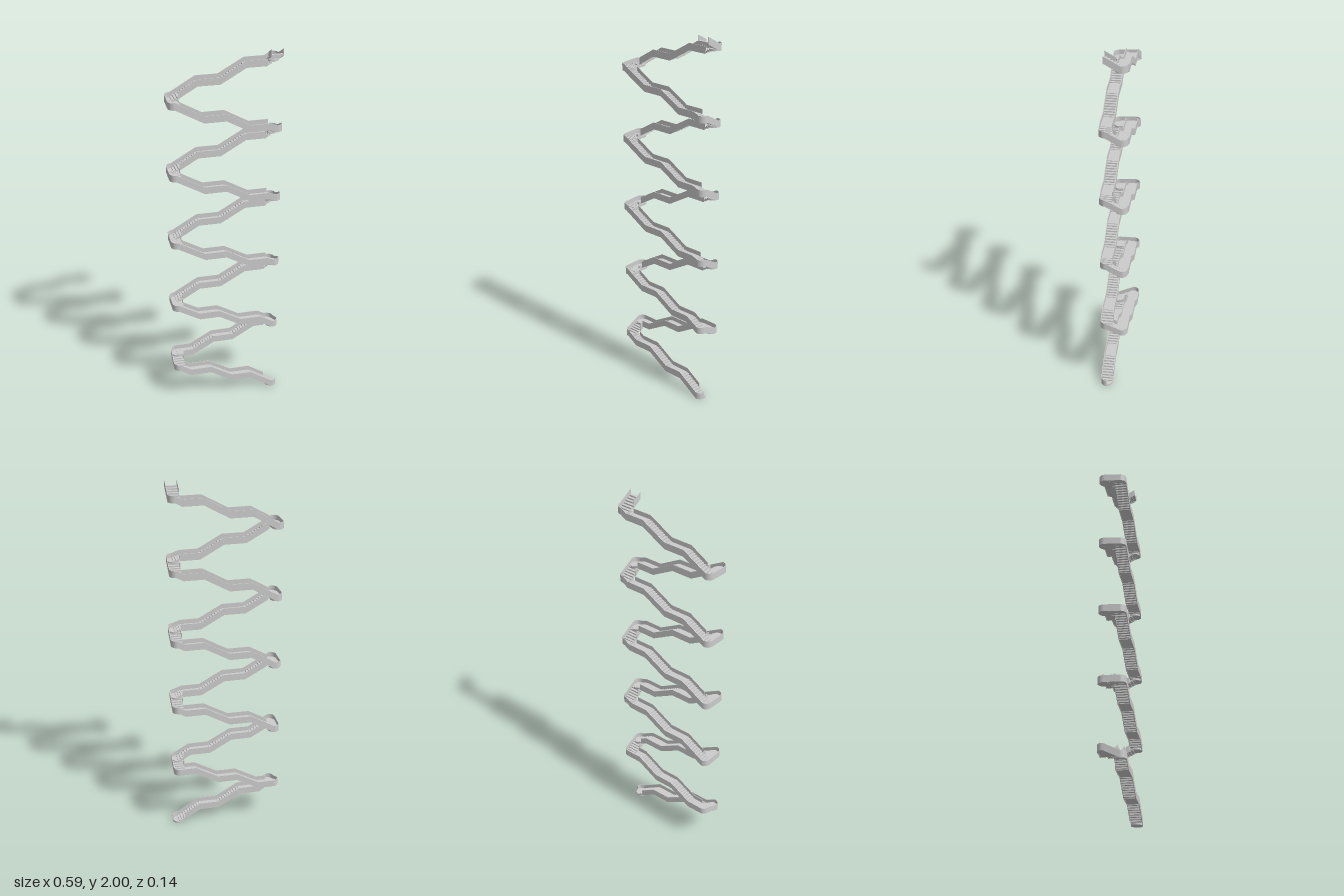
import * as THREE from 'three';

const H = 0.037;    // parapet height
const T = 0.003;    // parapet thickness
const R = 0.032;    // half width of a flight
const CX = 0.261, CZ = 0.0405; // corner centres
const SLAB = 0.01;  // tread thickness
const TREAD = 0.0135;

const material = new THREE.MeshStandardMaterial({ color: 0xcccccc, flatShading: true, side: THREE.DoubleSide });

// height of a path of [u, y] points (u ascending) at u
function heightAt(path, u) {
  for (let i = 1; i < path.length; i++) {
    const [u0, y0] = path[i - 1], [u1, y1] = path[i];
    if (u <= u1) return y0 + (y1 - y0) * (u - u0) / (u1 - u0);
  }
  return path[path.length - 1][1];
}

// closed band hanging below a line of points, extruded to a depth centred on 0
function band(top, drop, depth) {
  const bottom = top.map(([u, y]) => [u, y - drop]).reverse();
  const shape = new THREE.Shape([...top, ...bottom].map(([u, y]) => new THREE.Vector2(u, y)));
  return new THREE.ExtrudeGeometry(shape, { depth, bevelEnabled: false }).translate(0, 0, -depth / 2);
}

// parapet following the path between a and b
function parapet(path, a, b) {
  const inner = path.filter(([u]) => u > a + 1e-4 && u < b - 1e-4);
  return band([[a, heightAt(path, a)], ...inner, [b, heightAt(path, b)]], H, T);
}

// treads on the slopes, flat slabs on the landings
function treads(path) {
  const pts = [];
  for (let i = 1; i < path.length; i++) {
    const [u0, y0] = path[i - 1], [u1, y1] = path[i];
    const n = Math.abs(y1 - y0) < 1e-4 ? 1 : Math.max(1, Math.round((u1 - u0) / TREAD));
    for (let k = 0; k < n; k++) {
      const y = y0 + (y1 - y0) * (k + 0.5) / n - H + SLAB + 0.003;
      pts.push([u0 + (u1 - u0) * k / n, y], [u0 + (u1 - u0) * (k + 1) / n, y]);
    }
  }
  return band(pts, SLAB, 2 * R - T);
}

function add(parent, name, geometry, x = 0, y = 0, z = 0) {
  const mesh = new THREE.Mesh(geometry, material);
  mesh.name = name;
  mesh.position.set(x, y, z);
  parent.add(mesh);
}

// one straight run: side is the sign of the outer parapet on the local z axis
function run(name, points, side, innerFrom, innerTo) {
  const path = [...points].sort((a, b) => a[0] - b[0]);
  const group = new THREE.Group();
  group.name = name;
  const off = side * (R - T / 2);
  add(group, 'treads', treads(path));
  add(group, 'outerParapet', parapet(path, path[0][0], path[path.length - 1][0]), 0, 0, off);
  add(group, 'innerParapet', parapet(path, innerFrom, innerTo), 0, 0, -off);
  return group;
}

// round landing with a quarter-round outer parapet
function corner(sx, sz, top) {
  const group = new THREE.Group();
  group.name = 'cornerLanding';
  add(group, 'landing', new THREE.CylinderGeometry(R - T / 2, R - T / 2, SLAB, 24), 0, -H + SLAB / 2 + 0.001, 0);
  const start = Math.atan2(-sz, sx) - Math.PI / 4;
  const ring = new THREE.Shape();
  ring.absarc(0, 0, R, start, start + Math.PI / 2, false);
  ring.absarc(0, 0, R - T, start + Math.PI / 2, start, true);
  const wall = new THREE.ExtrudeGeometry(ring, { depth: H, bevelEnabled: false, curveSegments: 8 });
  add(group, 'cornerParapet', wall.rotateX(-Math.PI / 2), 0, -H, 0);
  group.position.set(sx * CX, top, sz * CZ);
  return group;
}

export function createModel() {
  const model = new THREE.Group();
  model.name = 'switchbackStaircase';

  // parapet-top lines [x, y]; odd flights climb to -x in front, even ones to +x behind
  const flights = [
    [[CX, 0.037], [0.14, 0.115], [0.033, 0.115], [-0.088, 0.188], [-0.2, 0.188], [-CX, 0.226]],
    [[-CX, 0.266], [-0.177, 0.266], [-0.055, 0.335], [0.052, 0.335], [0.173, 0.405], [CX, 0.405]],
    [[CX, 0.439], [0.19, 0.48], [0.08, 0.48], [-0.04, 0.549], [-0.148, 0.549], [-CX, 0.614]],
  ];
  const back = [[-CX, 0.616], [-0.13, 0.693], [-0.013, 0.693], [0.12, 0.769], [0.225, 0.769], [CX, 0.789]];
  const front = [[CX, 0.832], [0.225, 0.846], [0.125, 0.846], [0, 0.916], [-0.115, 0.916], [-CX, 0.998]];
  const lift = (path, dy) => path.map(([x, y]) => [x, y + dy]);
  for (let i = 0; i < 4; i++) {
    flights.push(lift(back, i * 0.388));
    if (i < 3) flights.push(lift(front, i * 0.388));
  }

  flights.forEach((path, i) => {
    const sz = i % 2 ? -1 : 1;
    const [x0, y0] = path[0], [x1, y1] = path[path.length - 1];
    const flight = run('flight', path, sz, -CX + R, CX - R);
    flight.position.z = sz * CZ;
    model.add(flight, corner(Math.sign(x0), sz, y0), corner(Math.sign(x1), sz, y1));

    // short crossing up to the next flight; the last one ends open
    const last = i === flights.length - 1;
    const zEnd = last ? 0.045 : -sz * CZ;
    const yEnd = last ? 2 : flights[i + 1][0][1];
    const sx = Math.sign(x1), gap = CZ - R;
    const crossing = run('crossing', [[sz * CZ, y1], [zEnd, yEnd]], -sx, -gap, last ? zEnd : gap);
    crossing.rotation.y = -Math.PI / 2;
    crossing.position.x = sx * CX;
    model.add(crossing);
  });
  return model;
}
